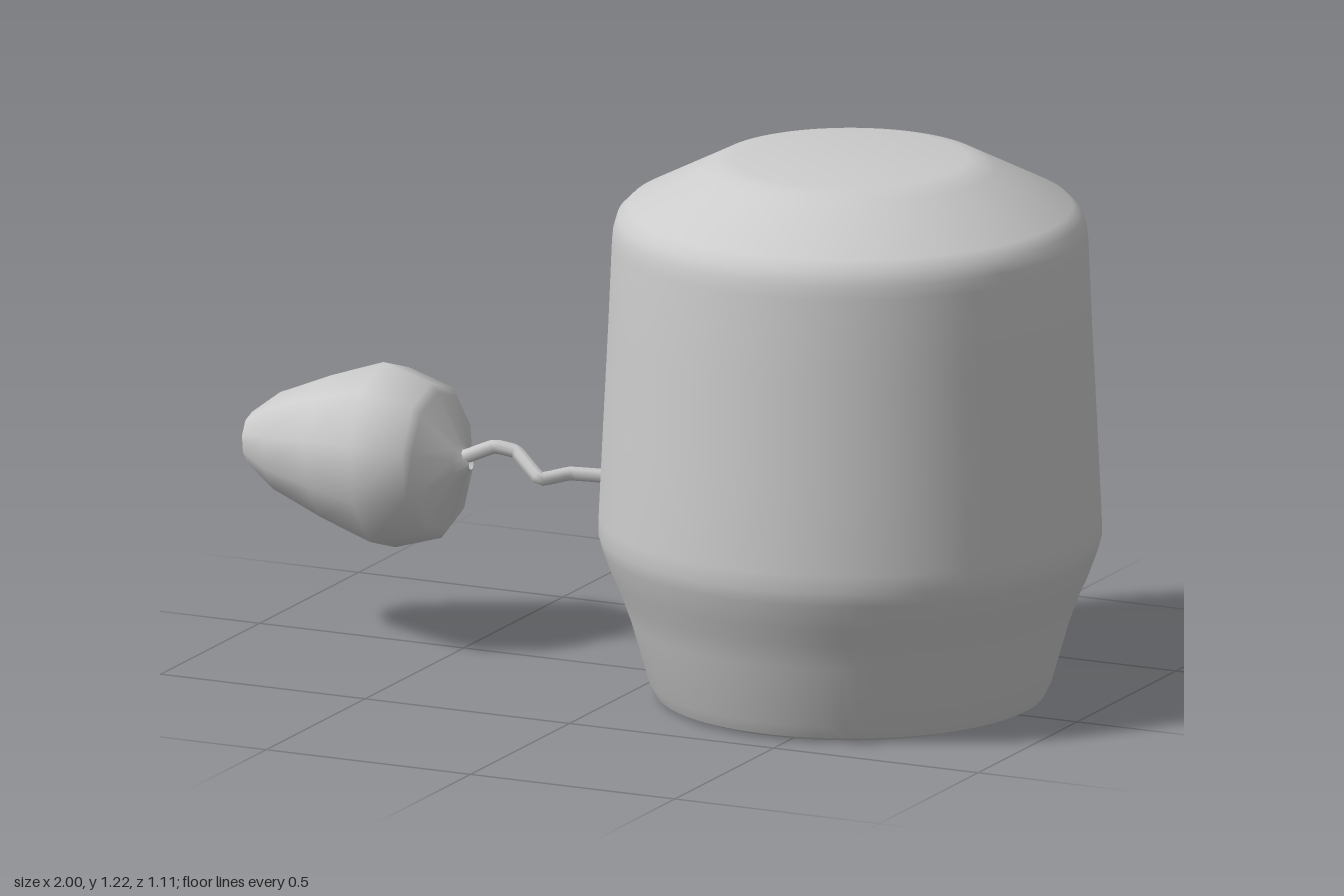
import * as THREE from 'three';
import { toCreasedNormals } from 'three/addons/utils/BufferGeometryUtils.js';

const material = new THREE.MeshStandardMaterial({ color: 0xcccccc, side: THREE.DoubleSide });

function addMesh(group, name, geometry) {
  const mesh = new THREE.Mesh(geometry, material);
  mesh.name = name;
  group.add(mesh);
  return mesh;
}

const toPoints = (list) => list.map(([r, y]) => new THREE.Vector2(r, y));

// Hollow body: cavity from its ceiling down to the opening, then rim and outer wall
function bodyGeometry() {
  const sides = 96;
  const profile = toPoints([
    [0, 1.14], [0.25, 1.14], [0.44, 1.04], [0.46, 0.4], [0.44, 0.2], [0.33, 0.06],
    [0.31, 0.03], [0.32, 0.01], [0.345, 0], [0.405, 0], [0.43, 0.01], [0.445, 0.04],
    [0.485, 0.18], [0.507, 0.24], [0.525, 0.28], [0.547, 0.34], [0.555, 0.37], [0.554, 0.41],
    [0.544, 0.62], [0.533, 0.84], [0.525, 1.03], [0.522, 1.06], [0.513, 1.09],
    [0.49, 1.113], [0.32, 1.2], [0.295, 1.213], [0.26, 1.22], [0, 1.22],
  ]);
  const geometry = new THREE.LatheGeometry(profile, sides);
  const pos = geometry.attributes.position;
  const rows = profile.length;
  const column = sides * 0.75;
  // Tapered vertical groove where the cord enters
  for (let j = 12; j < rows; j++) {
    const y = profile[j].y;
    const depth = 0.055 * Math.max(0, Math.min((y - 0.28) / 0.1, (1.03 - y) / 0.64, 1));
    const i = column * rows + j;
    const scale = 1 - depth / (profile[j].x || 1);
    pos.setX(i, pos.getX(i) * scale);
    pos.setZ(i, pos.getZ(i) * scale);
  }
  geometry.rotateY(-0.04);
  return toCreasedNormals(geometry, 0.62);
}

// Tapered bulb along its own y axis, with a shallow pleat on the back near the tip
function bulbGeometry() {
  const sides = 10;
  const profile = toPoints([
    [0.012, -0.2], [0.045, -0.175], [0.155, -0.13], [0.175, -0.115],
    [0.209, 0], [0.165, 0.13], [0.112, 0.26], [0.06, 0.332], [0, 0.336],
  ]);
  const geometry = new THREE.LatheGeometry(profile, sides, Math.PI / 10);
  const pos = geometry.attributes.position;
  for (let i = 0; i < pos.count; i++) {
    const x = pos.getX(i), y = pos.getY(i), z = pos.getZ(i);
    const back = Math.max(0, -z / (Math.hypot(x, z) || 1));
    const pleat = 1 - 0.22 * Math.pow(back, 8) * THREE.MathUtils.smoothstep(y, 0, 0.25);
    pos.setXYZ(i, x * pleat, y + 0.07 * x, z * pleat);
  }
  return toCreasedNormals(geometry, 0.9);
}

export function createModel() {
  const model = new THREE.Group();
  model.name = 'vesselWithBulb';

  const body = addMesh(model, 'body', bodyGeometry());
  body.position.x = 0.445;

  const bulb = addMesh(model, 'bulb', bulbGeometry());
  bulb.rotation.z = Math.PI / 2;
  bulb.position.set(-0.664, 0.43, 0.038);

  // Kinked cord between the groove and the bulb
  const path = new THREE.CatmullRomCurve3([
    [-0.06, 0.41, -0.045], [-0.16, 0.413, -0.06], [-0.25, 0.42, -0.02], [-0.3, 0.413, 0.027],
    [-0.37, 0.46, 0], [-0.42, 0.47, 0.012], [-0.47, 0.45, 0.04], [-0.5, 0.44, 0.04],
  ].map((p) => new THREE.Vector3(...p)), false, 'catmullrom', 0.15);
  addMesh(model, 'cord', new THREE.TubeGeometry(path, 40, 0.016, 8));

  return model;
}
